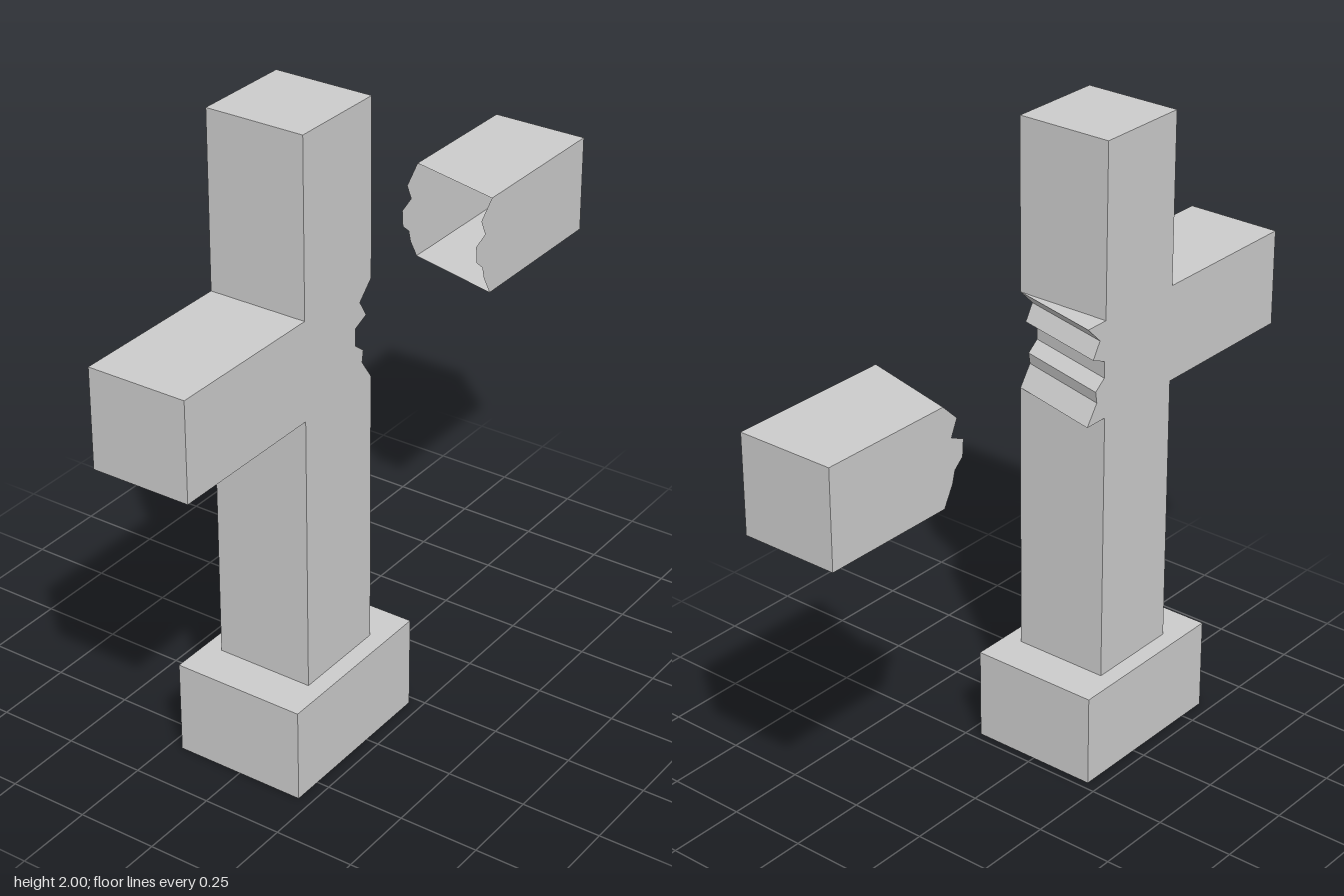
import * as THREE from 'three';

const HALF = 0.155;              // half thickness of every beam
const Y0 = 1.16, Y1 = 1.465;     // underside and top of the crossbar
const SKEW = 0.08;               // the break slants back towards -x

// Break lines on the +x side, bottom to top, as [z, y]
const STUB_BREAK = [[0.153, Y0], [0.196, 1.222], [0.19, 1.258], [0.229, 1.288],
  [0.229, 1.34], [0.177, 1.362], [0.207, 1.412], [0.153, Y1]];
const ARM_BREAK = [[-0.462, Y0], [-0.428, 1.222], [-0.418, 1.26], [-0.386, 1.288],
  [-0.382, 1.34], [-0.43, 1.362], [-0.407, 1.412], [-0.462, Y1]];

// Beam along z with a straight end at zEnd and a jagged, slanted break
function brokenBeam(zEnd, breakLine, open) {
  const outline = [{ z: zEnd, y: Y1 }, { z: zEnd, y: Y0 },
    ...breakLine.map(([z, y]) => ({ z, y, torn: true }))];
  const flat = (p) => new THREE.Vector2(-p.z, p.y);
  if (THREE.ShapeUtils.isClockWise(outline.map(flat))) outline.reverse();

  const left = outline.map((p) => new THREE.Vector3(HALF, p.y, p.z));
  const right = outline.map((p) => new THREE.Vector3(-HALF, p.y, p.z - (p.torn ? SKEW : 0)));
  const pts = [];

  // The two flat sides
  for (const [a, b, c] of THREE.ShapeUtils.triangulateShape(left.map(flat), []))
    pts.push(left[a], left[b], left[c]);
  for (const [a, b, c] of THREE.ShapeUtils.triangulateShape(right.map(flat), []))
    pts.push(right[a], right[c], right[b]);

  // Walls between them, leaving out the break when the beam is hollow
  outline.forEach((p, i) => {
    const j = (i + 1) % outline.length;
    if (open && p.torn && outline[j].torn) return;
    pts.push(left[i], right[i], right[j], left[i], right[j], left[j]);
  });

  const geometry = new THREE.BufferGeometry().setFromPoints(pts);
  geometry.computeVertexNormals();
  return geometry;
}

// Box given by its half width, y range and z range
function block(halfX, y0, y1, z0, z1) {
  return new THREE.BoxGeometry(halfX * 2, y1 - y0, z1 - z0)
    .translate(0, (y0 + y1) / 2, (z0 + z1) / 2);
}

export function createModel() {
  const group = new THREE.Group();
  const stone = new THREE.MeshStandardMaterial({ color: 0xcccccc, flatShading: true });
  const hollow = stone.clone();
  hollow.side = THREE.DoubleSide;

  const add = (name, geometry, material = stone) => {
    const mesh = new THREE.Mesh(geometry, material);
    mesh.name = name;
    group.add(mesh);
  };

  add('base', block(0.21, 0, 0.295, 0.025, 0.592));
  add('lowerPost', block(HALF, 0.295, Y0, 0.153, 0.463));
  add('upperPost', block(HALF, Y1, 2, 0.153, 0.463));
  add('crossbar', brokenBeam(0.98, STUB_BREAK, false));
  add('brokenArm', brokenBeam(-0.98, ARM_BREAK, true), hollow);
  return group;
}
